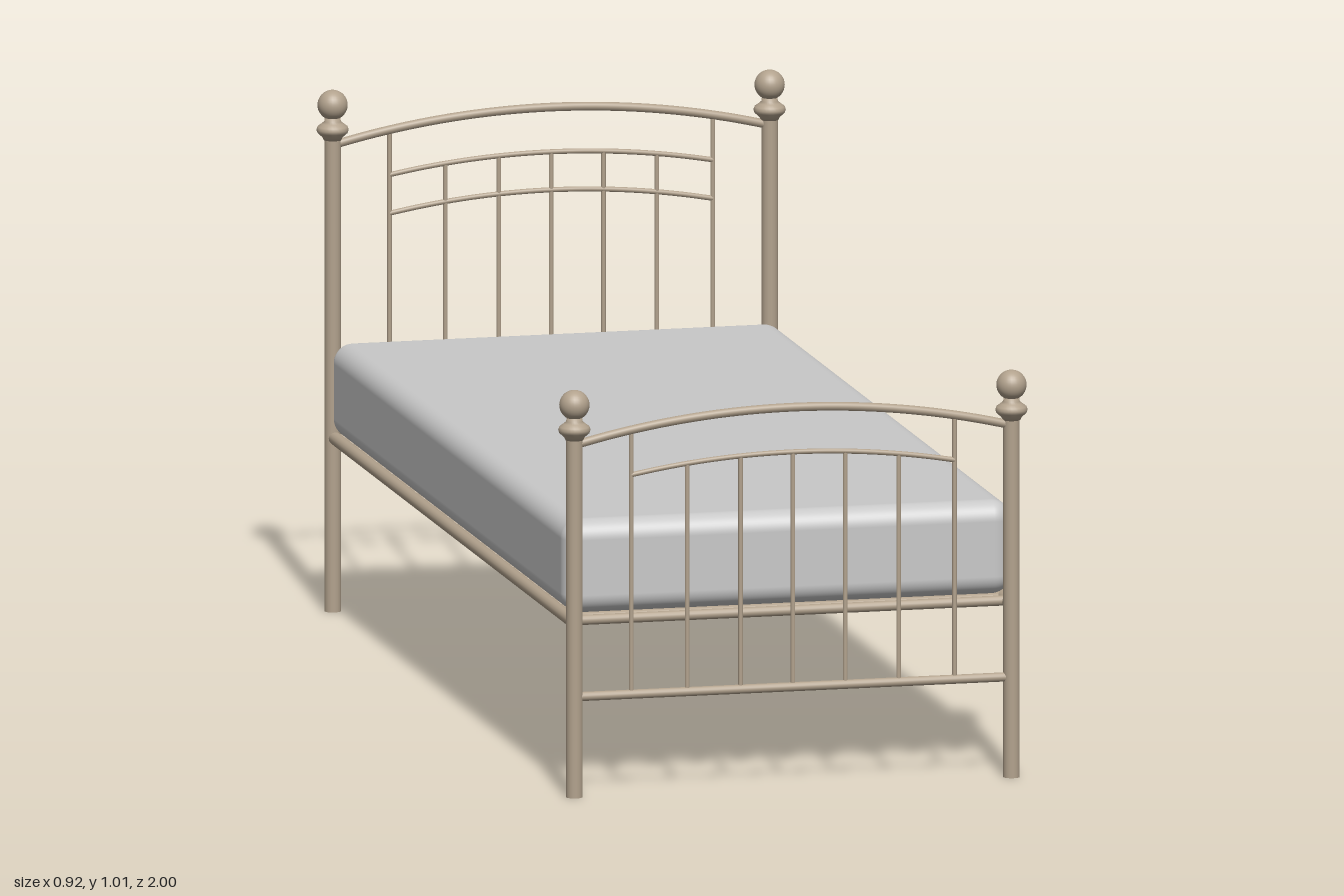
import * as THREE from 'three';
import { RoundedBoxGeometry } from 'three/addons/geometries/RoundedBoxGeometry.js';

const metal = new THREE.MeshStandardMaterial({ color: 0xb2a28d });
metal.name = 'beige metal';
const fabric = new THREE.MeshStandardMaterial({ color: 0xc8c8c8 });
fabric.name = 'grey fabric';

const POST_X = 0.43, END_Z = 0.97, BAR_X = 0.318;

function add(parent, name, geometry, material = metal) {
  const mesh = new THREE.Mesh(geometry, material);
  mesh.name = name;
  parent.add(mesh);
  return mesh;
}

// Straight round rod centred on its own origin, along the given axis
function rod(radius, length, axis) {
  const g = new THREE.CylinderGeometry(radius, radius, length, 16);
  if (axis === 'x') g.rotateZ(Math.PI / 2);
  if (axis === 'z') g.rotateX(Math.PI / 2);
  return g;
}

// Height of a shallow parabolic arch at x
const archY = (x, half, mid, end) => mid - (mid - end) * (x / half) ** 2;

function archRail(parent, name, half, mid, end, radius) {
  const points = [];
  for (let i = 0; i <= 12; i++) {
    const x = -half + (2 * half * i) / 12;
    points.push(new THREE.Vector3(x, archY(x, half, mid, end), 0));
  }
  add(parent, name, new THREE.TubeGeometry(new THREE.CatmullRomCurve3(points), 40, radius, 12));
}

// Post with flared collar and ball finial; top is the height of the ball centre
function post(parent, x, top) {
  const g = new THREE.Group();
  g.name = 'post';
  g.position.x = x;
  parent.add(g);
  const shaft = top - 0.066;
  add(g, 'shaft', rod(0.016, shaft, 'y')).position.y = shaft / 2;
  const collar = [
    [0, -0.068], [0.017, -0.068], [0.02, -0.062], [0.029, -0.054], [0.031, -0.048],
    [0.029, -0.042], [0.021, -0.036], [0.016, -0.032], [0.014, -0.02], [0, -0.02],
  ].map(([r, y]) => new THREE.Vector2(r, y));
  add(g, 'collar', new THREE.LatheGeometry(collar, 28)).position.y = top;
  add(g, 'ball', new THREE.SphereGeometry(0.029, 28, 18)).position.y = top;
}

// Head or foot panel; lift raises everything above the floor
function endPanel(name, z, lift, secondArch) {
  const g = new THREE.Group();
  g.name = name;
  g.position.z = z;
  for (const s of [-1, 1]) post(g, s * POST_X, 0.763 + lift);

  const low = 0.195 + lift;
  add(g, 'lowerRail', rod(0.009, 2 * POST_X, 'x')).position.y = low;
  archRail(g, 'topRail', POST_X, 0.739 + lift, 0.685 + lift, 0.0085);
  archRail(g, 'innerArch', BAR_X, 0.652 + lift, 0.622 + lift, 0.005);
  if (secondArch) archRail(g, 'secondArch', BAR_X, 0.578 + lift, 0.547 + lift, 0.005);

  // Outer bars reach the top rail, the others stop at the inner arch
  for (const x of [-BAR_X, -0.208, -0.103, 0, 0.103, 0.208, BAR_X]) {
    const top = lift + (Math.abs(x) === BAR_X
      ? archY(x, POST_X, 0.739, 0.685)
      : archY(x, BAR_X, 0.652, 0.622));
    add(g, 'verticalBar', rod(0.0045, top - low, 'y')).position.set(x, (top + low) / 2, 0);
  }
  return g;
}

export function createModel() {
  const bed = new THREE.Group();
  bed.name = 'bed';
  bed.add(endPanel('footboard', END_Z, 0, false));
  bed.add(endPanel('headboard', -END_Z, 0.222, true));

  // Base frame
  const base = new THREE.Group();
  base.name = 'base';
  bed.add(base);
  for (const s of [-1, 1]) {
    add(base, 'sideRail', rod(0.0125, 2 * END_Z, 'z')).position.set(s * 0.428, 0.338, 0);
    add(base, 'endRail', rod(0.01, 0.856, 'x')).position.set(0, 0.339, s * 0.945);
  }

  // Slats
  const slat = rod(0.01, 0.856, 'x');
  slat.scale(1, 1, 2);
  const count = 29;
  for (let i = 0; i < count; i++) {
    add(base, 'slat', slat).position.set(0, 0.339, -0.9 + (1.8 * i) / (count - 1));
  }

  // Mattress
  add(bed, 'mattress', new RoundedBoxGeometry(0.884, 0.183, 1.89, 6, 0.038), fabric)
    .position.y = 0.439;
  return bed;
}
